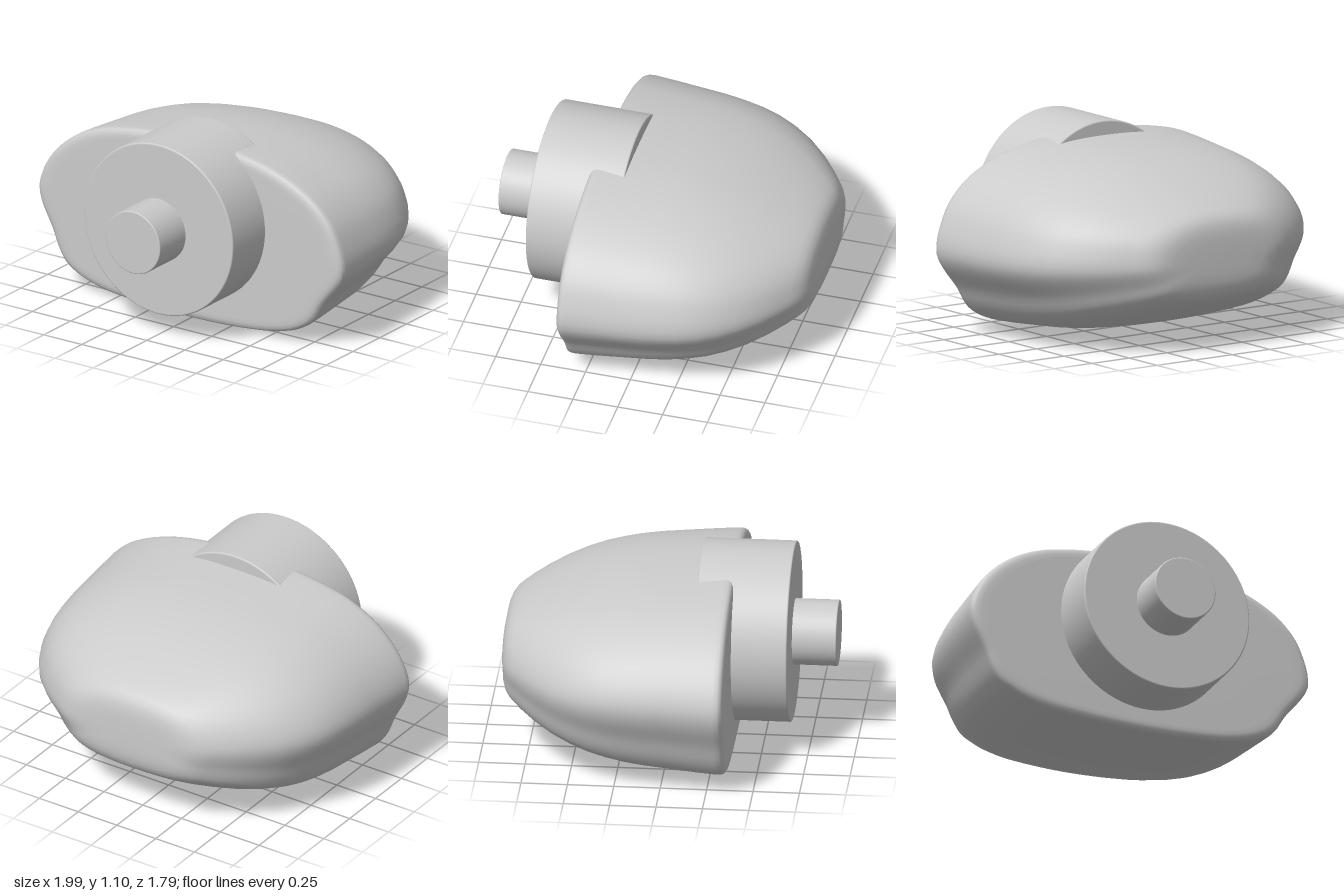
import * as THREE from 'three';

const material = new THREE.MeshStandardMaterial({ color: 0xcccccc });

// Widest outline of the body (x, y), counter-clockwise from the top
const OUTLINE = [
  [0, 1.035], [-0.25, 1.025], [-0.45, 1.0], [-0.6, 0.965], [-0.75, 0.895], [-0.88, 0.79],
  [-0.965, 0.67], [-1, 0.56], [-0.985, 0.47], [-0.91, 0.32], [-0.87, 0.22], [-0.82, 0.145],
  [-0.73, 0.09], [-0.58, 0.045], [-0.35, 0.02], [0, 0.008], [0.3, 0.018], [0.53, 0.045],
  [0.69, 0.09], [0.79, 0.155], [0.86, 0.265], [0.955, 0.385], [0.99, 0.45], [0.993, 0.52],
  [0.97, 0.61], [0.92, 0.72], [0.82, 0.83], [0.68, 0.915], [0.5, 0.98], [0.25, 1.025],
];

// Stations from front to back: z, x scale, y scale
const STATIONS = [
  [0.355, 0, 0], [0.355, 0.5, 0.5], [0.355, 0.9, 0.88], [0.354, 0.945, 0.925], [0.35, 0.972, 0.962],
  [0.34, 0.99, 0.987], [0.325, 0.998, 0.998], [0.3, 0.999, 0.999], [0.2, 0.99, 0.988],
  [0, 0.972, 0.953], [-0.1, 0.963, 0.935], [-0.2, 0.948, 0.91], [-0.3, 0.928, 0.872],
  [-0.4, 0.895, 0.826], [-0.5, 0.842, 0.767], [-0.6, 0.77, 0.695], [-0.7, 0.668, 0.61],
  [-0.77, 0.578, 0.545], [-0.82, 0.507, 0.49], [-0.85, 0.46, 0.448], [-0.872, 0.41, 0.395],
  [-0.885, 0.36, 0.335], [-0.892, 0.3, 0.26], [-0.895, 0.2, 0.17], [-0.895, 0, 0],
];

// Lofts the outline through the stations
function bodyGeometry() {
  const centerY = 0.525, n = 120;
  const curve = new THREE.CatmullRomCurve3(
    OUTLINE.map(([x, y]) => new THREE.Vector3(x, y - centerY, 0)), true, 'centripetal');
  const ring = curve.getSpacedPoints(n).slice(0, n);
  const positions = [], index = [];
  STATIONS.forEach(([z, sx, sy], i) => {
    for (let j = 0; j < n; j++) {
      positions.push(ring[j].x * sx, centerY + ring[j].y * sy, z);
      if (i === STATIONS.length - 1) continue;
      const a = i * n + j, b = i * n + (j + 1) % n;
      if (i > 0) index.push(a, a + n, b);
      if (i < STATIONS.length - 2) index.push(b, a + n, b + n);
      else if (i === 0) index.push(b, a + n, b + n);
    }
  });
  const geometry = new THREE.BufferGeometry();
  geometry.setAttribute('position', new THREE.Float32BufferAttribute(positions, 3));
  geometry.setIndex(index);
  geometry.computeVertexNormals();
  // The cap centres share a point, so give them straight normals
  const normals = geometry.attributes.normal;
  for (let j = 0; j < n; j++) {
    normals.setXYZ(j, 0, 0, 1);
    normals.setXYZ((STATIONS.length - 1) * n + j, 0, 0, -1);
  }
  return geometry;
}

// Cylinder along z with finely rounded rims
function roundedCylinder(radius, z0, z1, rim) {
  const profile = [new THREE.Vector2(0, z0), new THREE.Vector2(radius - rim * 1.2, z0)];
  const arc = (z, from) => {
    for (let k = 0; k <= 4; k++) {
      const t = from + (k / 4) * Math.PI / 2;
      profile.push(new THREE.Vector2(radius - rim + rim * Math.cos(t), z + rim * Math.sin(t)));
    }
  };
  arc(z0 + rim, -Math.PI / 2);
  profile.push(new THREE.Vector2(radius, z0 + rim * 1.2), new THREE.Vector2(radius, z1 - rim * 1.2));
  arc(z1 - rim, 0);
  profile.push(new THREE.Vector2(radius - rim * 1.2, z1), new THREE.Vector2(0, z1));
  return new THREE.LatheGeometry(profile, 96).rotateX(Math.PI / 2);
}

export function createModel() {
  const model = new THREE.Group();
  model.name = 'knobbedShell';

  const add = (name, geometry, x = 0, y = 0) => {
    const mesh = new THREE.Mesh(geometry, material);
    mesh.name = name;
    mesh.position.set(x, y, 0);
    model.add(mesh);
  };

  add('body', bodyGeometry());
  // Large disc sunk into the front face, with a small peg on it
  add('collar', roundedCylinder(0.487, 0.16, 0.656, 0.008), 0.01, 0.618);
  add('peg', roundedCylinder(0.178, 0.6, 0.895, 0.006), 0.01, 0.618);
  return model;
}
